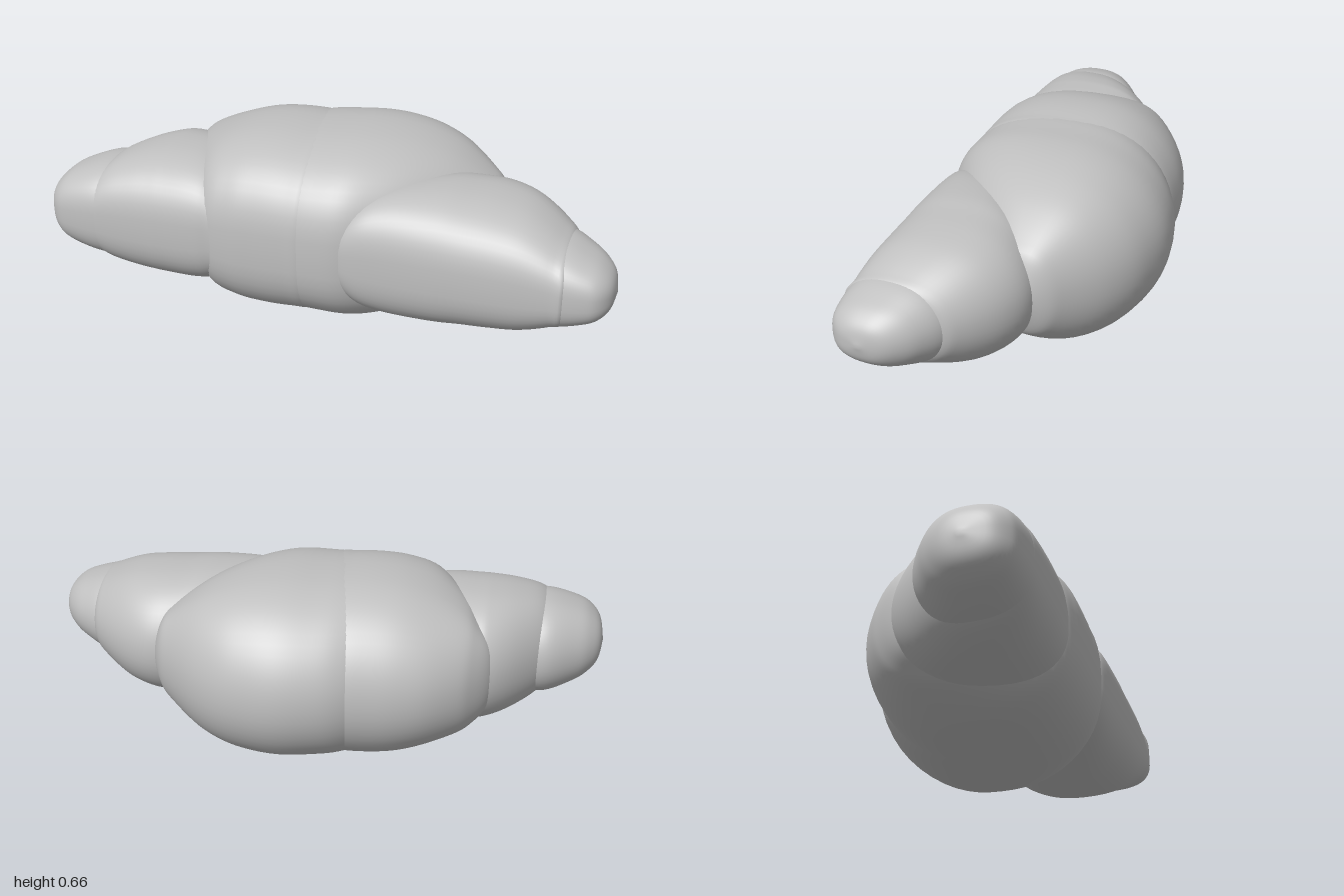
import * as THREE from 'three';
import { mergeVertices } from 'three/addons/utils/BufferGeometryUtils.js';

const MID_Y = 0.333;
const AROUND = 56;

// Signed power, used to square off the round cross-sections
const spow = (v, e) => Math.sign(v) * Math.pow(Math.abs(v), e);

// Lobe lofted along +x from stations [x, zBack, zFront, halfHeight]
function lobeGeometry(stations) {
  const depth = new THREE.CatmullRomCurve3(
    stations.map(([x, b, f]) => new THREE.Vector3(x, b, f)), false, 'catmullrom', 0.5);
  const height = new THREE.CatmullRomCurve3(
    stations.map(([x, , , h]) => new THREE.Vector3(x, h, 0)), false, 'catmullrom', 0.5);
  const rings = (stations.length - 1) * 5;
  const pos = [], index = [];
  for (let i = 0; i <= rings; i++) {
    const d = depth.getPoint(i / rings);
    const h = Math.max(0, height.getPoint(i / rings).y);
    const mid = (d.y + d.z) / 2, half = Math.max(0, (d.z - d.y) / 2);
    for (let j = 0; j < AROUND; j++) {
      const a = (j / AROUND) * Math.PI * 2;
      const c = Math.cos(a), s = Math.sin(a);
      // front side is flatter than the back
      const e = 2 / (2.4 + 0.3 * c);
      pos.push(d.x, MID_Y + h * spow(s, e), mid + half * spow(c, e));
      if (i < rings) {
        const k = (j + 1) % AROUND;
        const p = i * AROUND + j, q = i * AROUND + k;
        index.push(p, p + AROUND, q, q, p + AROUND, q + AROUND);
      }
    }
  }
  let geo = new THREE.BufferGeometry();
  geo.setAttribute('position', new THREE.Float32BufferAttribute(pos, 3));
  geo.setIndex(index);
  geo = mergeVertices(geo, 1e-5);
  geo.computeVertexNormals();
  return geo;
}

const LOBES = {
  rightTip: [
    [-1, 0.24, 0.24, 0], [-0.985, 0.165, 0.33, 0.072], [-0.95, 0.115, 0.375, 0.115],
    [-0.9, 0.075, 0.393, 0.145], [-0.8, 0.02, 0.402, 0.175], [-0.72, 0.03, 0.395, 0.165],
    [-0.65, 0.1, 0.37, 0.12], [-0.6, 0.24, 0.24, 0],
  ],
  rightLobe: [
    [-0.88, 0.26, 0.26, 0], [-0.85, 0.14, 0.38, 0.1], [-0.8, 0.06, 0.4, 0.16],
    [-0.75, 0, 0.404, 0.195], [-0.67, -0.08, 0.405, 0.222], [-0.6, -0.13, 0.405, 0.235],
    [-0.55, -0.14, 0.405, 0.238], [-0.45, -0.11, 0.402, 0.235], [-0.38, -0.04, 0.395, 0.21],
    [-0.3, 0.08, 0.37, 0.14], [-0.26, 0.23, 0.23, 0],
  ],
  rightMiddle: [
    [-0.63, -0.07, -0.07, 0], [-0.6, -0.135, 0, 0.12], [-0.55, -0.195, 0.1, 0.19],
    [-0.5, -0.24, 0.22, 0.235], [-0.4, -0.3, 0.37, 0.285], [-0.3, -0.332, 0.403, 0.315],
    [-0.2, -0.346, 0.407, 0.326], [-0.1, -0.352, 0.405, 0.323], [-0.03, -0.33, 0.397, 0.312],
    [0.05, -0.2, 0.34, 0.24], [0.09, 0.05, 0.05, 0],
  ],
  centre: [
    [-0.29, 0, 0, 0], [-0.25, -0.2, 0.24, 0.2], [-0.18, -0.315, 0.36, 0.295],
    [-0.1, -0.37, 0.395, 0.32], [0, -0.4, 0.402, 0.327], [0.1, -0.412, 0.39, 0.331],
    [0.2, -0.4, 0.34, 0.322], [0.3, -0.37, 0.27, 0.298], [0.4, -0.31, 0.18, 0.255],
    [0.5, -0.22, 0.08, 0.185], [0.55, -0.165, 0.02, 0.13], [0.59, -0.08, -0.08, 0],
  ],
  leftLobe: [
    [0.06, 0.34, 0.34, 0], [0.09, 0.25, 0.385, 0.11], [0.15, 0.15, 0.4, 0.185],
    [0.25, 0.03, 0.403, 0.225], [0.4, -0.08, 0.405, 0.24], [0.5, -0.118, 0.405, 0.235],
    [0.6, -0.122, 0.405, 0.227], [0.7, -0.08, 0.405, 0.207], [0.8, 0, 0.403, 0.16],
    [0.85, 0.07, 0.395, 0.12], [0.89, 0.24, 0.24, 0],
  ],
  leftTip: [
    [0.64, 0.25, 0.25, 0], [0.68, 0.14, 0.37, 0.09], [0.75, 0.06, 0.397, 0.135],
    [0.82, 0.045, 0.403, 0.145], [0.9, 0.09, 0.397, 0.118], [0.95, 0.135, 0.38, 0.092],
    [0.985, 0.19, 0.335, 0.055], [1, 0.265, 0.265, 0],
  ],
};

export function createModel() {
  const model = new THREE.Group();
  model.name = 'croissant';
  const crust = new THREE.MeshStandardMaterial({ color: 0xc0c0c0 });
  crust.name = 'plain grey crust';

  // Overlapping lobes make the creases of the rolled dough
  for (const [name, stations] of Object.entries(LOBES)) {
    const mesh = new THREE.Mesh(lobeGeometry(stations), crust);
    mesh.name = name;
    model.add(mesh);
  }
  return model;
}
